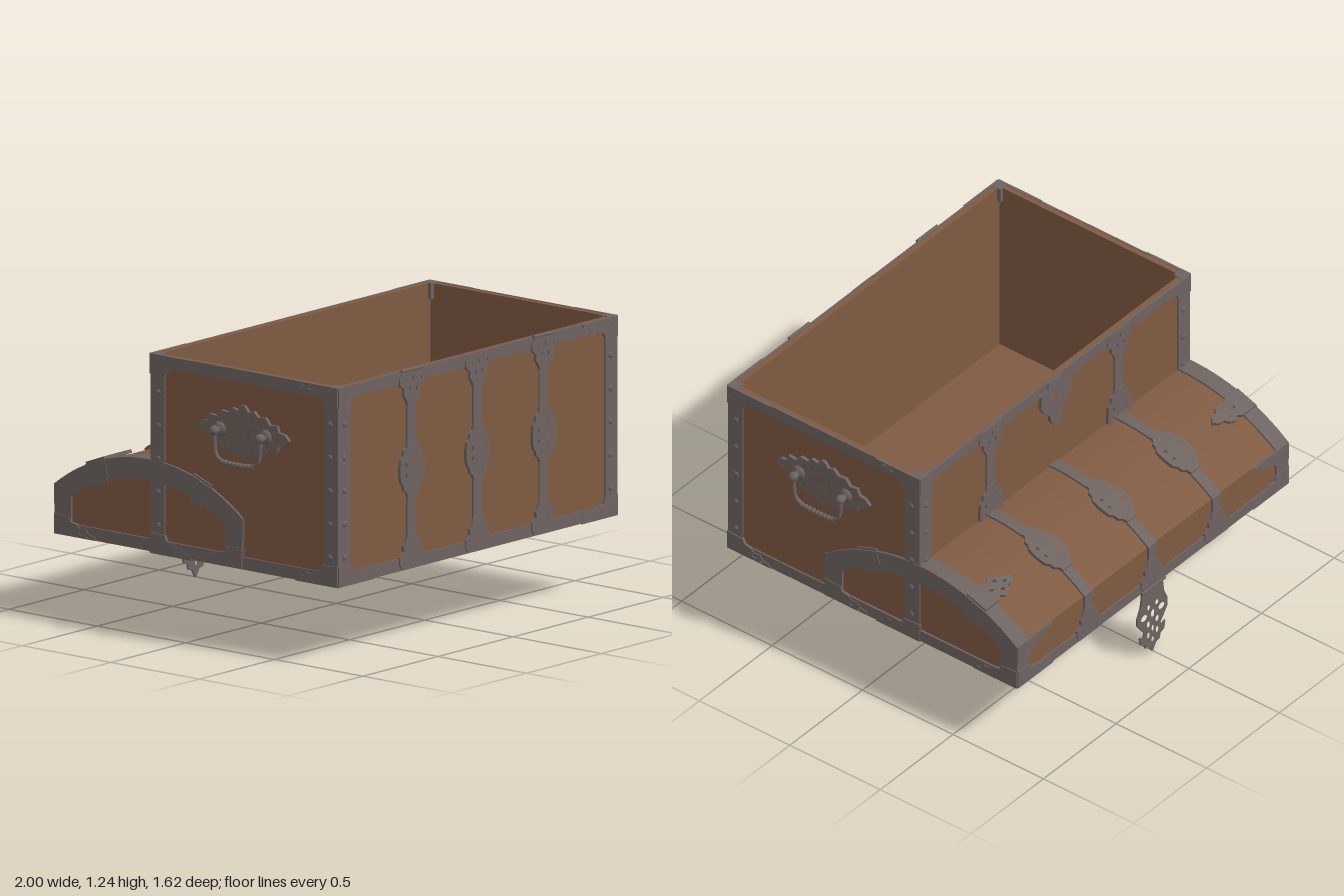
import * as THREE from 'three';
import { toCreasedNormals } from 'three/addons/utils/BufferGeometryUtils.js';

const wood = new THREE.MeshStandardMaterial({ color: 0x7f5a42 });
wood.name = 'wood';
const iron = new THREE.MeshStandardMaterial({ color: 0x6d6361 });
iron.name = 'iron';

// Sizes: half width, half depth, body height; lid wall, lid top, arch radius and centre
const W = 0.93, D = 0.53, H = 0.88, T = 0.008;
const WALL = 0.22, TOP = 0.405;
const R = (D * D + (TOP - WALL) ** 2) / (2 * (TOP - WALL)), CY = TOP - R;

function add(parent, name, geo, mat, x = 0, y = 0, z = 0) {
  const m = new THREE.Mesh(geo, mat);
  m.name = name;
  m.position.set(x, y, z);
  parent.add(m);
  return m;
}
const box = (p, name, mat, w, h, d, x, y, z) => add(p, name, new THREE.BoxGeometry(w, h, d), mat, x, y, z);

// Flat plate cut from an outline with oval holes [x, y, rx, ry]
function plate(pts, holes = [], depth = 0.014, sx = 1, sy = 1) {
  const s = new THREE.Shape(pts.map(([x, y]) => new THREE.Vector2(x * sx, y * sy)));
  for (const [x, y, rx, ry] of holes) {
    const h = new THREE.Path();
    h.absellipse(x * sx, y * sy, rx, ry, 0, Math.PI * 2, true);
    s.holes.push(h);
  }
  return new THREE.ExtrudeGeometry(s, { depth, bevelEnabled: false, curveSegments: 5 });
}
const mirrorX = (pts) => [...pts, ...pts.filter((p) => p[0] > 0).reverse().map(([x, y]) => [-x, y])];
const mirrorY = (pts) => [...pts, ...pts.filter((p) => p[1] > 0).reverse().map(([x, y]) => [x, -y])];
const four = (x, y, rx, ry) => [[x, y, rx, ry], [-x, y, rx, ry], [x, -y, rx, ry], [-x, -y, rx, ry]];
const pair = (x, y, rx, ry) => [[x, y, rx, ry], [-x, y, rx, ry]];

// Fretted ornament outlines
const medallion = mirrorX(mirrorY([[0.03, 0.12], [0.036, 0.1], [0.055, 0.088], [0.06, 0.064], [0.075, 0.05], [0.08, 0.02]]));
const medallionHoles = [...four(0.046, 0.024, 0.012, 0.009), ...four(0.022, 0.058, 0.008, 0.014), [0, 0.02, 0.007, 0.012], [0, -0.02, 0.007, 0.012]];
const flare = mirrorX([[0.03, 0.145], [0.045, 0.115], [0.058, 0.1], [0.055, 0.075], [0.082, 0.055], [0.085, 0.025], [0.07, 0]]);
const flareHoles = [...pair(0.05, 0.04, 0.013, 0.008), ...pair(0.022, 0.08, 0.008, 0.013), [0, 0.035, 0.007, 0.014]];
const corner = [[0, 0], [0.24, 0], [0.225, 0.018], [0.195, 0.024], [0.18, 0.045], [0.15, 0.04], [0.125, 0.058], [0.095, 0.062], [0.085, 0.085], [0, 0.09]];
const cornerHoles = [[0.15, 0.022, 0.013, 0.007], [0.19, 0.012, 0.01, 0.005]];
const tongue = mirrorY([[0, 0.055], [0.09, 0.055], [0.115, 0.04], [0.14, 0.055], [0.17, 0.045], [0.185, 0.025], [0.215, 0.022], [0.24, 0.003]]);
const tongueHoles = [[0.15, 0.025, 0.013, 0.008], [0.15, -0.025, 0.013, 0.008], [0.19, 0, 0.013, 0.006], [0.1, 0, 0.014, 0.007]];
const handlePlate = mirrorX(mirrorY([[0.008, 0.12], [0.03, 0.095], [0.06, 0.105], [0.085, 0.08], [0.125, 0.085], [0.15, 0.055], [0.19, 0.06], [0.2, 0.03], [0.235, 0.025], [0.258, 0.002]]));
const handleHoles = [...pair(0.035, 0, 0.012, 0.026), ...four(0.055, 0.06, 0.014, 0.009), ...four(0.1, 0.05, 0.01, 0.012), ...pair(0.185, 0, 0.016, 0.009), [0, 0.075, 0.008, 0.014], [0, -0.075, 0.008, 0.014]];
const shield = mirrorX([[0.05, 0], [0.06, -0.03], [0.1, -0.05], [0.105, -0.11], [0.08, -0.15], [0.045, -0.18], [0.035, -0.22], [0.003, -0.26]]);
const hasp = mirrorX([[0.07, 0], [0.08, -0.07], [0.103, -0.12], [0.103, -0.16], [0.075, -0.2], [0.055, -0.225], [0.06, -0.245], [0.088, -0.235], [0.08, -0.275], [0.055, -0.285], [0.05, -0.31], [0.025, -0.315], [0.003, -0.35]]);
const haspHoles = [...pair(0.06, -0.14, 0.02, 0.016), [0, -0.145, 0.011, 0.02], ...pair(0.03, -0.19, 0.01, 0.016), ...pair(0.03, -0.25, 0.009, 0.016), [0, -0.225, 0.007, 0.016], [0, -0.285, 0.008, 0.013], ...pair(0.028, -0.1, 0.009, 0.013)];

// Group whose local +z points out of one side of the chest
function side(parent, name, angle, dist) {
  const g = new THREE.Group();
  g.name = name;
  g.rotation.y = angle;
  g.position.set(Math.sin(angle) * dist, 0, Math.cos(angle) * dist);
  parent.add(g);
  return g;
}
function corners(g, half, y, sy) {
  for (const s of [-1, 1]) add(g, 'cornerOrnament', plate(corner, cornerHoles, 0.013, -s, sy), iron, s * half, y, -T);
}

// Ironwork frame of one body side
function bodySide(parent, name, angle, half, dist, straps) {
  const g = side(parent, name, angle, dist);
  for (const s of [-1, 1]) {
    box(g, 'cornerPost', iron, 0.08, H, T, s * (half - 0.04), H / 2, -T / 2);
    for (let i = 0; i < 6; i++) {
      const r = add(g, 'rivet', new THREE.SphereGeometry(0.014, 8, 6), iron, s * (half - 0.045), 0.14 + i * 0.147 - 0.015, 0);
      r.scale.z = 0.5;
    }
  }
  box(g, 'topBand', iron, 2 * half, 0.055, T, 0, H - 0.0275, -T / 2);
  box(g, 'bottomBand', iron, 2 * half, 0.055, T, 0, 0.0275, -T / 2);
  corners(g, half, H, -1);
  corners(g, half, 0, 1);
  for (const x of straps) {
    box(g, 'strap', iron, 0.056, H, T, x, H / 2, -T / 2 + 0.001);
    add(g, 'strapMedallion', plate(medallion, medallionHoles), iron, x, 0.44, -T);
    add(g, 'strapFlare', plate(flare, flareHoles), iron, x, 0.005, -T);
    add(g, 'strapFlare', plate(flare, flareHoles, 0.014, 1, -1), iron, x, H - 0.005, -T);
  }
  return g;
}

// Carrying handle with fretted backplate
function handle(g) {
  const h = new THREE.Group();
  h.name = 'handle';
  h.position.set(0, 0.605, 0);
  g.add(h);
  add(h, 'handlePlate', plate(handlePlate, handleHoles, 0.016), iron, 0, 0, -T);
  for (const s of [-1, 1]) {
    add(h, 'handleBoss', new THREE.SphereGeometry(0.034, 14, 10), iron, s * 0.13, 0, 0.006).scale.z = 0.6;
    add(h, 'handlePost', new THREE.CylinderGeometry(0.013, 0.016, 0.05, 10).rotateX(Math.PI / 2), iron, s * 0.13, 0, 0.03);
    add(h, 'handleKnob', new THREE.SphereGeometry(0.022, 12, 8), iron, s * 0.13, 0, 0.048);
  }
  const pts = [[-0.13, 0], [-0.128, -0.06], [-0.118, -0.108], [-0.085, -0.13], [0, -0.136], [0.085, -0.13], [0.118, -0.108], [0.128, -0.06], [0.13, 0]];
  const curve = new THREE.CatmullRomCurve3(pts.map(([x, y]) => new THREE.Vector3(x, y, 0.045)));
  add(h, 'handleBail', new THREE.TubeGeometry(curve, 32, 0.009, 8), iron);
  for (let i = -4; i <= 4; i++) add(h, 'bailBead', new THREE.SphereGeometry(0.013, 8, 6), iron, i * 0.021, -0.136 + 0.004 * (i / 4) ** 2, 0.045);
}

// Lid cross-section points, grown or shrunk by o, from one foot over the arch to the other
function arch(o, foot = 0) {
  const half = D - T + o, r = R - T + o, a = Math.asin(half / r), pts = [[half, foot]];
  for (let i = 0; i <= 28; i++) {
    const t = a - (2 * a * i) / 28;
    pts.push([r * Math.sin(t), CY + r * Math.cos(t)]);
  }
  return [...pts, [-half, foot]];
}
const v2 = (pts) => pts.map(([x, y]) => new THREE.Vector2(x, y));
function archExtrude(parent, name, mat, shape, width, x) {
  const geo = new THREE.ExtrudeGeometry(shape, { depth: width, bevelEnabled: false });
  geo.translate(0, 0, -width / 2).rotateY(Math.PI / 2);
  return add(parent, name, toCreasedNormals(geo, 0.4), mat, x);
}
const hoop = (outer, inner) => new THREE.Shape(v2([...arch(outer), ...arch(inner).reverse()]));

// Wrap a flat plate over the lid arch at angle a0
function wrap(geo, a0) {
  const p = geo.attributes.position;
  for (let i = 0; i < p.count; i++) {
    const a = a0 - p.getY(i) / R, r = R + p.getZ(i) - 0.004;
    p.setXYZ(i, p.getX(i), CY + r * Math.cos(a), r * Math.sin(a));
  }
  geo.computeVertexNormals();
  return geo;
}

function makeBody() {
  const g = new THREE.Group();
  g.name = 'body';
  g.position.set(0, 0.35, 0.27);
  // Wooden walls and floor
  const w = W - T, d = D - T, t = 0.025;
  for (const s of [-1, 1]) {
    box(g, 'endWall', wood, t, H - 0.004, 2 * d, s * (w - t / 2), H / 2, 0);
    box(g, 'longWall', wood, 2 * w, H - 0.004, t, 0, H / 2, s * (d - t / 2));
  }
  box(g, 'floor', wood, 2 * w, 0.02, 2 * d, 0, 0.012, 0);
  // Ironwork
  const q = Math.PI / 2;
  bodySide(g, 'bodyFront', 0, W, D, [-0.44, 0, 0.44]);
  const back = bodySide(g, 'bodyBack', Math.PI, W, D, [-0.44, 0.44]);
  add(back, 'lockPlate', plate(shield, [[0, -0.1, 0.012, 0.022]], 0.016), iron, 0, H - 0.005, -T);
  handle(bodySide(g, 'bodyLeft', q, D, W, []));
  handle(bodySide(g, 'bodyRight', -q, D, W, []));
  // Rim corners and corner plates under the floor
  const foot = [[0, 0], [0.24, 0], [0.2, 0.05], [0.15, 0.08], [0.1, 0.14], [0.05, 0.18], [0, 0.24]];
  for (const sx of [-1, 1]) for (const sz of [-1, 1]) {
    box(g, 'rimCorner', iron, 0.05, 0.07, 0.05, sx * (W - 0.026), H - 0.035, sz * (D - 0.026));
    add(g, 'footPlate', plate(foot, [], 0.006, -sx, -sz).rotateX(q), iron, sx * W, 0.002, sz * D);
  }
  // Hinge barrels on the front rim
  for (const x of [-0.44, 0.44]) add(g, 'hingeBarrel', new THREE.CylinderGeometry(0.008, 0.008, 0.14, 10).rotateZ(q), iron, x, H, D);
  return g;
}

function makeLid() {
  const g = new THREE.Group();
  g.name = 'lid';
  g.position.set(0, 0.355, -0.27);
  // Wooden shell and ends
  archExtrude(g, 'lidShell', wood, hoop(0, -0.025), 2 * W - 0.02, 0);
  for (const s of [-1, 1]) {
    archExtrude(g, 'lidEnd', wood, new THREE.Shape(v2(arch(-0.001))), 0.025, s * (W - 0.0195));
    // Arched iron frame on each end
    const frame = new THREE.Shape(v2(arch(T)));
    frame.holes.push(new THREE.Path(v2(arch(-0.085, 0.055))));
    archExtrude(g, 'endFrame', iron, frame, 0.01, s * (W - 0.002));
    archExtrude(g, 'endHoop', iron, hoop(T, -0.002), 0.08, s * (W - 0.04));
    for (const a of [-0.361, 0.361]) {
      add(g, 'lidTongue', wrap(plate(tongue, tongueHoles, 0.016, -s), a).translate(s * W, 0, 0), iron);
      // Tongue folded down over the end
      const fold = side(g, 'tongueFold', s * Math.PI / 2, W);
      const clip = mirrorX([[0.058, 0], [0.055, -0.07], [0.04, -0.1], [0.015, -0.11]]);
      const m = add(fold, 'foldPlate', plate(clip, [], 0.006), iron, -s * R * Math.sin(a), CY + R * Math.cos(a), 0);
      m.rotation.z = s * a;
    }
    corners(side(g, 'lidEndCorners', s * Math.PI / 2, W + 0.002), D, 0, 1);
  }
  // Straps over the arch
  for (const x of [-0.44, 0, 0.44]) {
    archExtrude(g, 'lidStrap', iron, hoop(T + 0.001, -0.002), 0.056, x);
    for (const a of [-0.361, 0.361]) add(g, 'lidMedallion', wrap(plate(medallion, medallionHoles, 0.016), a).translate(x, 0, 0), iron);
  }
  // Long sides
  for (const angle of [0, Math.PI]) {
    const f = side(g, 'lidLongSide', angle, D);
    box(f, 'lidBand', iron, 2 * W, 0.05, T, 0, 0.025, -T / 2);
    corners(f, W, 0, 1);
    corners(f, W, WALL, -1);
    for (const x of [-0.44, 0, 0.44]) add(f, 'lidFlare', plate(flare, flareHoles), iron, x, 0.005, -T);
    if (angle) {
      // Hanging hasp
      add(f, 'haspHinge', new THREE.CylinderGeometry(0.009, 0.009, 0.16, 10).rotateZ(Math.PI / 2), iron, 0, 0, 0.002);
      add(f, 'hasp', plate(hasp, haspHoles, 0.008), iron, 0, -0.005, -T);
    }
  }
  return g;
}

export function createModel() {
  const model = new THREE.Group();
  model.name = 'openChest';
  model.add(makeBody(), makeLid());
  return model;
}
